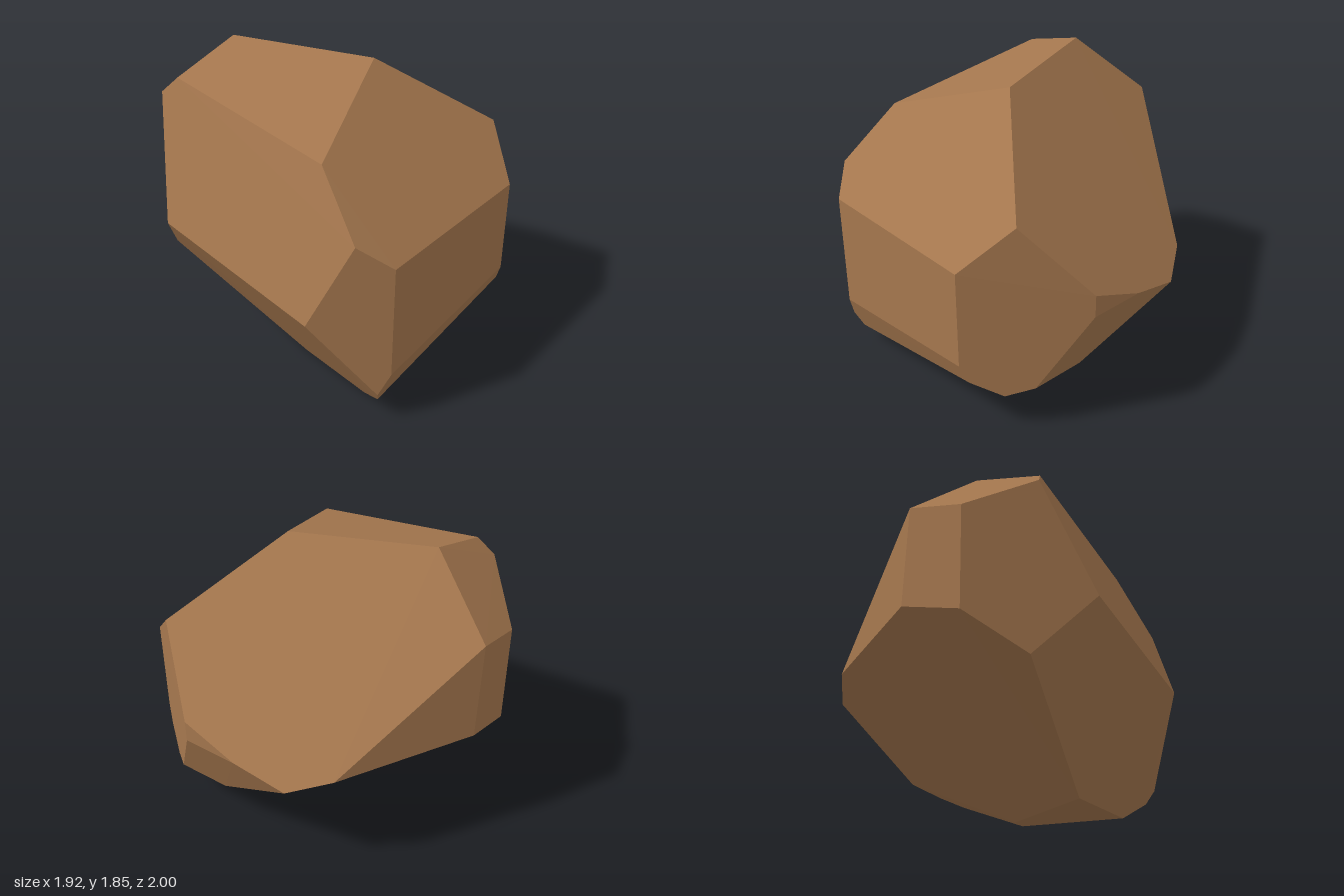
import * as THREE from 'three';
import { ConvexGeometry } from 'three/addons/geometries/ConvexGeometry.js';

// Corners of the faceted boulder, grouped by region
const corners = [
  // front face
  [-0.63, 1.09, 1], [0.495, 1.09, 1], [0.495, 0.48, 1], [-0.63, 0.36, 1],
  // crown
  [0.1, 1.83, 0.26], [-0.21, 1.845, -0.565], [-0.65, 1.715, -0.59], [-0.67, 1.565, 0.525],
  // shoulders
  [0.69, 1.355, 0.735], [-0.78, 1.24, 0.845], [-0.69, 1.61, -0.69],
  // back face
  [-0.02, 1.45, -1], [-0.36, 1.37, -1], [-0.36, 0.72, -1], [0.01, 0.825, -1],
  // -x side
  [-0.96, 0.73, 0.65], [-0.93, 0.905, -0.46], [-0.64, 0.5, -0.74], [-0.68, 0.21, 0.946],
  // +x side
  [0.96, 0.915, 0.4], [0.96, 0.775, 0.4], [0.96, 0.775, 0.05],
  [0.92, 0.685, -0.285], [0.76, 0.77, -0.52],
  [0.76, 0.298, 0.66], [0.76, 0.298, 0.31], [0.65, 0.25, 0.8],
  // lower front edge
  [0.53, 0.36, 0.955], [-0.63, 0.12, 0.91],
  // base
  [-0.535, 0, 0.74], [-0.47, 0, 0.22], [0.1, 0, 0.5], [0.1, 0, 0.605],
];

export function createModel() {
  const stone = new THREE.MeshStandardMaterial({ color: 0xa5774e });
  stone.name = 'brownStone';

  // The hull of the corners gives flat, sharp-edged facets
  const boulder = new THREE.Mesh(
    new ConvexGeometry(corners.map((c) => new THREE.Vector3(...c))),
    stone
  );
  boulder.name = 'boulder';

  const group = new THREE.Group();
  group.name = 'rock';
  group.add(boulder);
  return group;
}
